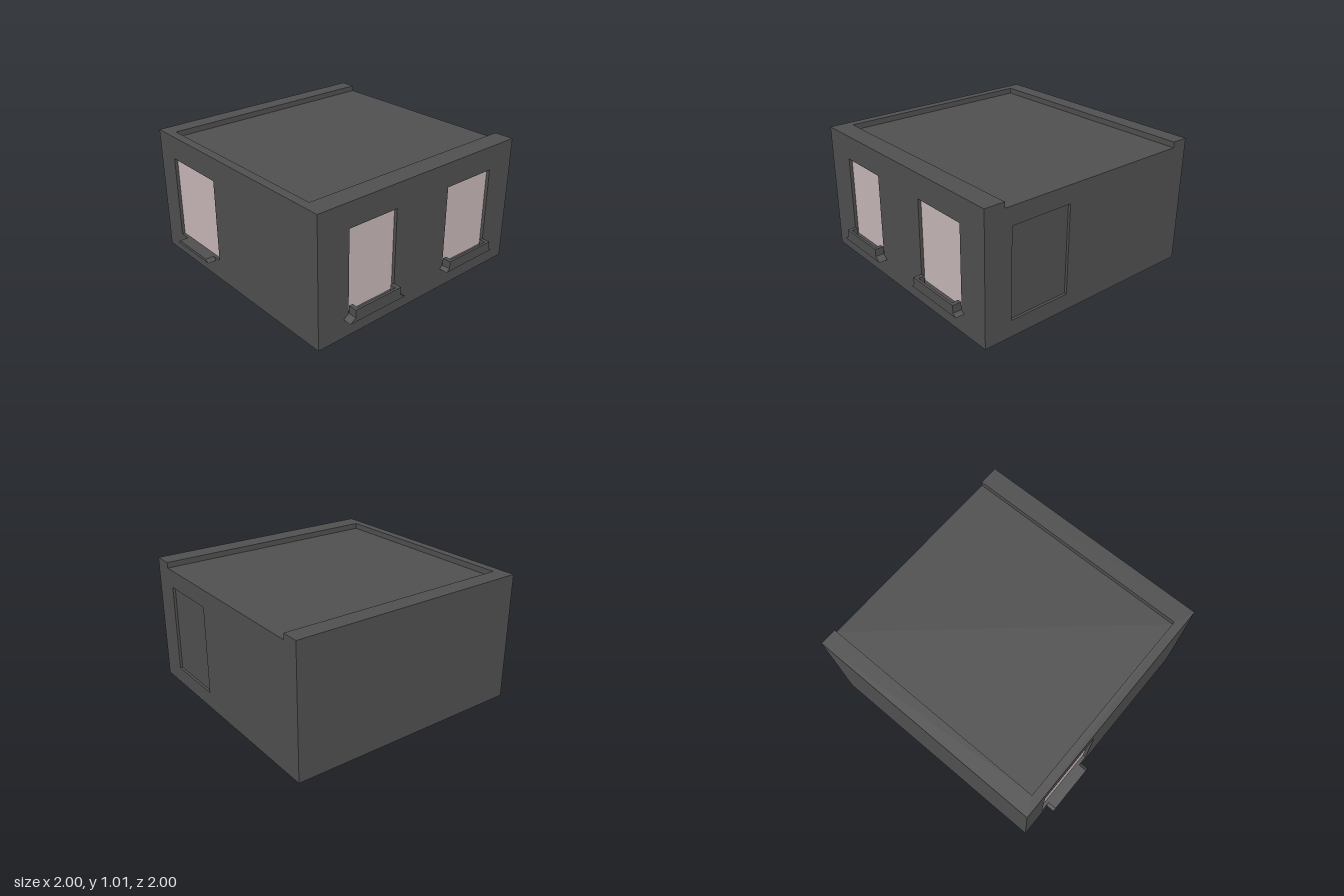
import * as THREE from 'three';

const wallMat = new THREE.MeshStandardMaterial({ color: 0x505050 });
wallMat.name = 'charcoal wall';
const glassMat = new THREE.MeshStandardMaterial({ color: 0xc9b8b8 });
glassMat.name = 'pale rose glass';

// Building extents
const X0 = -0.93, X1 = 1, Z0 = -1, Z1 = 0.93, H = 1.015;
const ROOF = { x0: -0.86, z0: -0.865, z1: 0.77, depth: 0.045 };

const rect = (x0, y0, x1, y1) => [[x0, y0], [x1, y0], [x1, y1], [x0, y1]];
const toShape = pts => new THREE.Shape(pts.map(p => new THREE.Vector2(...p)));

function add(parent, name, geometry, material = wallMat) {
  const mesh = new THREE.Mesh(geometry, material);
  mesh.name = name;
  parent.add(mesh);
  return mesh;
}

// Inward-facing side walls of a recess that follows a counter-clockwise path
function revealGeometry(path, depth, closed = true) {
  const pos = [];
  const n = closed ? path.length : path.length - 1;
  for (let i = 0; i < n; i++) {
    const [ax, ay] = path[i], [bx, by] = path[(i + 1) % path.length];
    pos.push(ax, ay, 0, bx, by, 0, bx, by, -depth, ax, ay, 0, bx, by, -depth, ax, ay, -depth);
  }
  const g = new THREE.BufferGeometry();
  g.setAttribute('position', new THREE.Float32BufferAttribute(pos, 3));
  g.computeVertexNormals();
  return g;
}

// One outer face, drawn in its own plane, with recessed openings
function face(parent, name, outline, position, rotation, openings = []) {
  const g = new THREE.Group();
  g.name = name;
  g.position.set(...position);
  g.rotation.set(...rotation);
  const shape = toShape(outline);
  for (const o of openings) shape.holes.push(new THREE.Path(o.pts.map(p => new THREE.Vector2(...p))));
  add(g, name + 'Surface', new THREE.ShapeGeometry(shape));
  for (const o of openings) {
    add(g, o.name + 'Reveal', revealGeometry(o.pts, o.depth));
    add(g, o.name, new THREE.ShapeGeometry(toShape(o.pts)), o.material).position.z = -o.depth;
  }
  parent.add(g);
  return g;
}

// Flared ledge, wider at the bottom, standing out from a wall
function ledge(parent, name, b0, b1, t0, t1, y0, y1) {
  const shape = toShape([[b0, y0], [b1, y0], [t1, y1], [t0, y1]]);
  add(parent, name, new THREE.ExtrudeGeometry(shape, { depth: 0.07, bevelEnabled: false }));
}

// Three-sided planter rim, open towards the window
function planterRim(parent, x0, x1, y0, y1) {
  const t = 0.033;
  const shape = toShape([[x0, 0], [x0, -0.07], [x1, -0.07], [x1, 0],
    [x1 - t, 0], [x1 - t, -0.05], [x0 + t, -0.05], [x0 + t, 0]]);
  const rim = add(parent, 'planterRim',
    new THREE.ExtrudeGeometry(shape, { depth: y1 - y0, bevelEnabled: false }));
  rim.rotation.x = -Math.PI / 2;
  rim.position.y = y0;
}

export function createModel() {
  const model = new THREE.Group();
  model.name = 'flatRoofedBuilding';
  const q = Math.PI / 2, roofY = H - ROOF.depth;

  // Front wall with two windows and planters
  const front = face(model, 'frontWall', rect(X0, 0, X1, H), [0, 0, Z1], [0, 0, 0], [
    { name: 'rightWindow', pts: rect(-0.665, 0.18, -0.235, 0.825), depth: 0.025, material: glassMat },
    { name: 'leftWindow', pts: rect(0.28, 0.18, 0.75, 0.825), depth: 0.025, material: glassMat },
  ]);
  ledge(front, 'rightWindowLedge', -0.71, -0.19, -0.662, -0.238, 0.147, 0.18);
  planterRim(front, -0.662, -0.238, 0.18, 0.24);
  ledge(front, 'leftWindowLedge', 0.253, 0.778, 0.283, 0.747, 0.158, 0.18);
  planterRim(front, 0.283, 0.747, 0.18, 0.24);

  // Back wall
  face(model, 'backWall', rect(-X1, 0, -X0, H), [0, 0, Z0], [0, 2 * q, 0]);

  // Left wall, notched where the roof runs out, with a shallow door panel
  face(model, 'leftWall', [[-Z1, 0], [-Z0, 0], [-Z0, H], [-ROOF.z0, H], [-ROOF.z0, roofY],
    [-ROOF.z1, roofY], [-ROOF.z1, H], [-Z1, H]], [X1, 0, 0], [0, q, 0],
    [{ name: 'doorPanel', pts: rect(-0.707, 0.13, -0.2, 0.83), depth: 0.02, material: wallMat }]);

  // Right wall with a window and sill
  const side = face(model, 'rightWall', rect(Z0, 0, Z1, H), [X0, 0, 0], [0, -q, 0],
    [{ name: 'sideWindow', pts: rect(-0.8, 0.165, -0.245, 0.83), depth: 0.025, material: glassMat }]);
  ledge(side, 'sideWindowSill', -0.74, -0.3, -0.715, -0.328, 0.14, 0.165);

  // Parapet on three sides around the sunken roof
  const inner = [[X1, -ROOF.z0], [ROOF.x0, -ROOF.z0], [ROOF.x0, -ROOF.z1], [X1, -ROOF.z1]];
  const top = face(model, 'parapet', [[X1, -Z0], [X0, -Z0], [X0, -Z1], [X1, -Z1],
    ...inner.slice().reverse()], [0, H, 0], [-q, 0, 0]);
  add(top, 'parapetInside', revealGeometry(inner, ROOF.depth, false));
  add(top, 'roof', new THREE.ShapeGeometry(toShape(inner))).position.z = -ROOF.depth;

  // Underside
  face(model, 'underside', rect(X0, Z0, X1, Z1), [0, 0, 0], [q, 0, 0]);
  return model;
}
